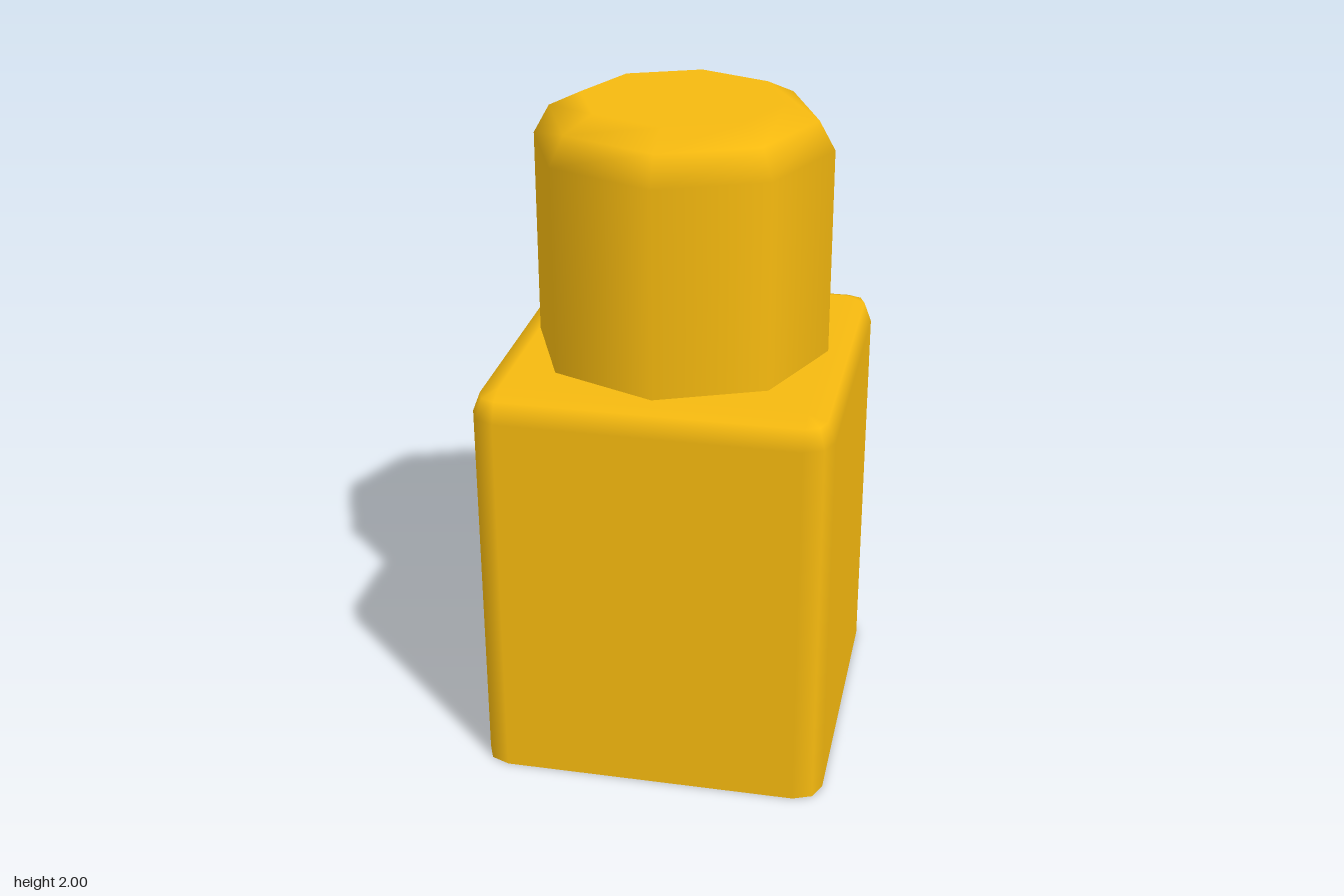
import * as THREE from 'three';

// Rounded square outline: [x, z, normalX, normalZ], two facets per corner
function roundedSquare([half, radius]) {
  const points = [];
  for (let corner = 0; corner < 4; corner++) {
    const mid = corner * Math.PI / 2 + Math.PI / 4;
    const cx = Math.sign(Math.cos(mid)) * (half - radius);
    const cz = Math.sign(Math.sin(mid)) * (half - radius);
    for (let k = -1; k <= 1; k++) {
      const c = Math.cos(mid + k * Math.PI / 4), s = Math.sin(mid + k * Math.PI / 4);
      points.push([cx + radius * c, cz + radius * s, c, s]);
    }
  }
  return points;
}

// Octagon with corners on the x and z axes
function octagon([radius]) {
  return Array.from({ length: 8 }, (_, i) => {
    const c = Math.cos(i * Math.PI / 4), s = Math.sin(i * Math.PI / 4);
    return [radius * c, radius * s, c, s];
  });
}

// Skin a stack of rings [size, y, normal tilt in degrees]; a repeated ring makes a hard edge
function loft(outline, rings) {
  const positions = [], normals = [], index = [];
  const n = outline(rings[0][0]).length;
  rings.forEach(([size, y, tilt], i) => {
    const a = THREE.MathUtils.degToRad(tilt);
    for (const [x, z, nx, nz] of outline(size)) {
      positions.push(x, y, z);
      normals.push(nx * Math.cos(a), Math.sin(a), nz * Math.cos(a));
    }
    if (i === rings.length - 1) return;
    for (let j = 0; j < n; j++) {
      const p = i * n + j, q = i * n + (j + 1) % n;
      index.push(p, p + n, q, q, p + n, q + n);
    }
  });
  const geometry = new THREE.BufferGeometry();
  geometry.setAttribute('position', new THREE.Float32BufferAttribute(positions, 3));
  geometry.setAttribute('normal', new THREE.Float32BufferAttribute(normals, 3));
  geometry.setIndex(index);
  return geometry;
}

export function createModel() {
  const group = new THREE.Group();
  const material = new THREE.MeshStandardMaterial({ color: 0xf5b90f });
  const add = (name, geometry) => {
    const mesh = new THREE.Mesh(geometry, material);
    mesh.name = name;
    group.add(mesh);
  };

  // Hollow square body: cavity, bottom rim, outer wall, bevelled top
  const inner = [0.45, 0.08], outer = [0.525, 0.08];
  add('body', loft(roundedSquare, [
    [[0, 0], 1.17, -90], [inner, 1.17, -90],
    [inner, 1.17, 180], [inner, 0, 180],
    [inner, 0, -90], [outer, 0, -90],
    [outer, 0, 0], [outer, 1.17, 0],
    [[0.502, 0.057], 1.23, 45],
    [[0.445, 0], 1.25, 90], [[0, 0], 1.25, 90],
  ]));

  // Eight-sided knob with a rounded top edge
  add('knob', loft(octagon, [
    [[0.443], 1.25, 0], [[0.443], 1.87, 0],
    [[0.395], 1.955, 45],
    [[0.3], 2, 90], [[0], 2, 90],
  ]));

  return group;
}
